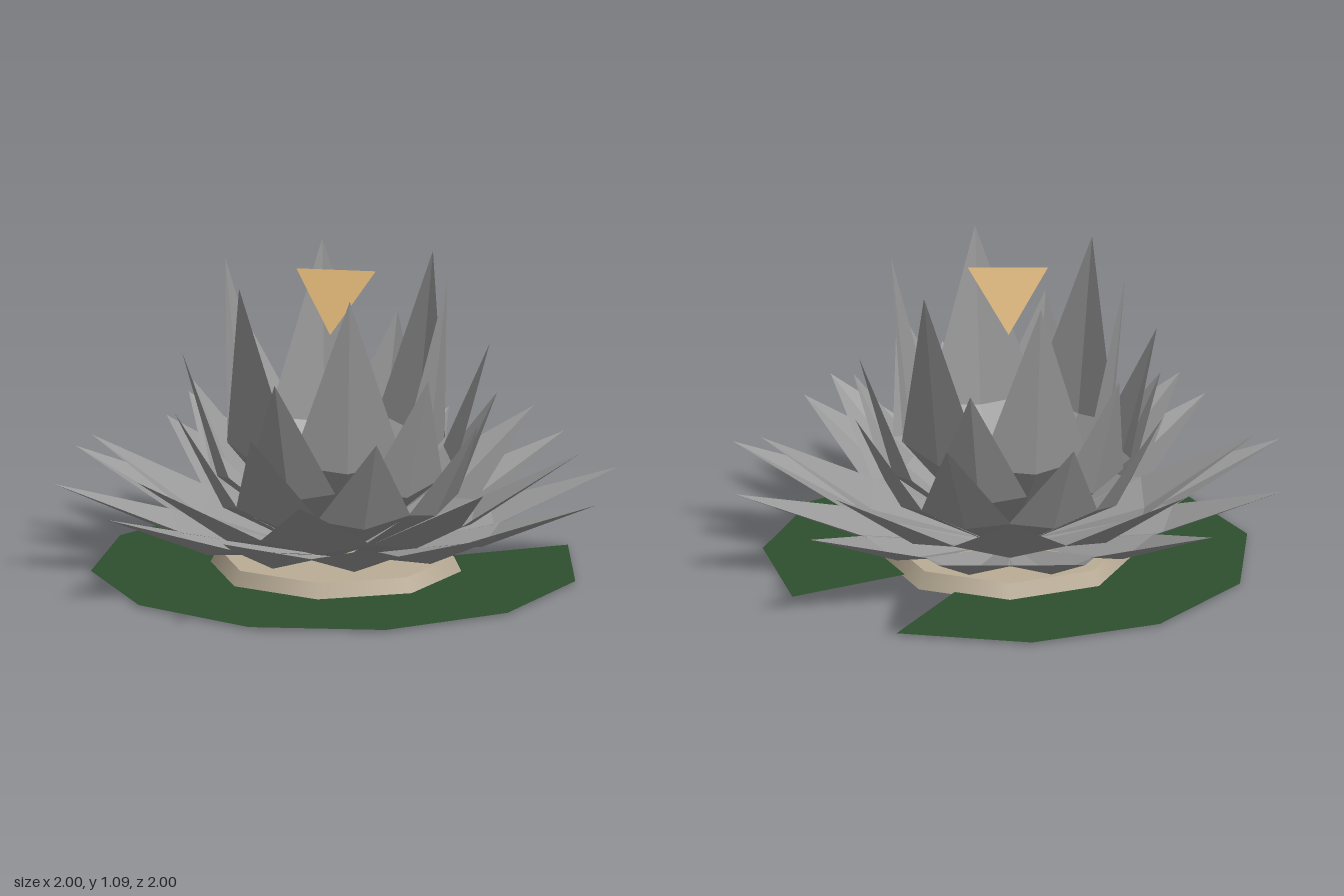
import * as THREE from 'three';

const mat = (name, color, extra = {}) => {
  const m = new THREE.MeshStandardMaterial({ color, ...extra });
  m.name = name;
  return m;
};

// Folded diamond petal: base point, two raised side corners, a low keel and a tip.
// Points are [radius, height]; the petal runs along +z.
function petalGeometry({ base, keel, corner, width, tip }) {
  const b = [0, base[1], base[0]], k = [0, keel[1], keel[0]], t = [0, tip[1], tip[0]];
  const l = [width, corner[1], corner[0]], r = [-width, corner[1], corner[0]];
  const g = new THREE.BufferGeometry();
  const faces = [b, k, l, k, t, l, b, r, k, k, r, t];
  g.setAttribute('position', new THREE.Float32BufferAttribute(faces.flat(), 3));
  g.computeVertexNormals();
  return g;
}

export function createModel() {
  const model = new THREE.Group();
  model.name = 'waterLily';
  const petalGrey = mat('petalGrey', 0x999999, { side: THREE.DoubleSide, flatShading: true });
  const padGreen = mat('padGreen', 0x2e4f2f, { side: THREE.DoubleSide });
  const baseTan = mat('baseTan', 0xbaad97);
  const gold = mat('gold', 0xcaa362, { flatShading: true });

  const add = (name, geometry, material, y, parent = model) => {
    const mesh = new THREE.Mesh(geometry, material);
    mesh.name = name;
    mesh.position.y = y;
    parent.add(mesh);
    return mesh;
  };

  // Notched leaf, opening toward +x
  const notch = 0.3;
  const leaf = new THREE.CircleGeometry(0.865, 10, notch, Math.PI * 2 - notch * 2);
  add('lilyPad', leaf.rotateX(-Math.PI / 2), padGreen, 0.008);

  // Eight-sided base
  add('base', new THREE.CylinderGeometry(0.42, 0.45, 0.06, 8), baseTan, 0.03);

  // Petal rings, from the outermost to the curled heart
  const rings = [
    { name: 'outerPetals', count: 12, base: [0.06, 0.06], keel: [0.56, 0.14], corner: [0.56, 0.19], width: 0.16, tip: [1, 0.34] },
    { name: 'secondPetals', count: 8, base: [0.06, 0.06], keel: [0.48, 0.18], corner: [0.47, 0.22], width: 0.2, tip: [0.87, 0.455] },
    { name: 'thirdPetals', count: 8, turn: 0.5, base: [0.06, 0.06], keel: [0.41, 0.25], corner: [0.4, 0.29], width: 0.17, tip: [0.585, 0.605] },
    { name: 'fourthPetals', count: 6, base: [0.05, 0.06], keel: [0.42, 0.35], corner: [0.4, 0.39], width: 0.17, tip: [0.545, 0.805] },
    { name: 'tallPetals', count: 6, turn: 0.5, base: [0.05, 0.06], keel: [0.355, 0.44], corner: [0.33, 0.47], width: 0.2, tip: [0.425, 1.09] },
    { name: 'heartPetals', count: 6, base: [0.04, 0.06], keel: [0.26, 0.28], corner: [0.23, 0.31], width: 0.09, tip: [0.1, 0.43] },
  ];
  for (const ring of rings) {
    const group = new THREE.Group();
    group.name = ring.name;
    const geometry = petalGeometry(ring);
    for (let i = 0; i < ring.count; i++) {
      const petal = add('petal', geometry, petalGrey, 0, group);
      petal.rotation.y = ((i + (ring.turn ?? 0)) / ring.count) * Math.PI * 2;
    }
    model.add(group);
  }

  // Floating gold tetrahedron
  add('floatingJewel', new THREE.TetrahedronGeometry(0.1 * Math.sqrt(3)), gold, 0.99);
  return model;
}
